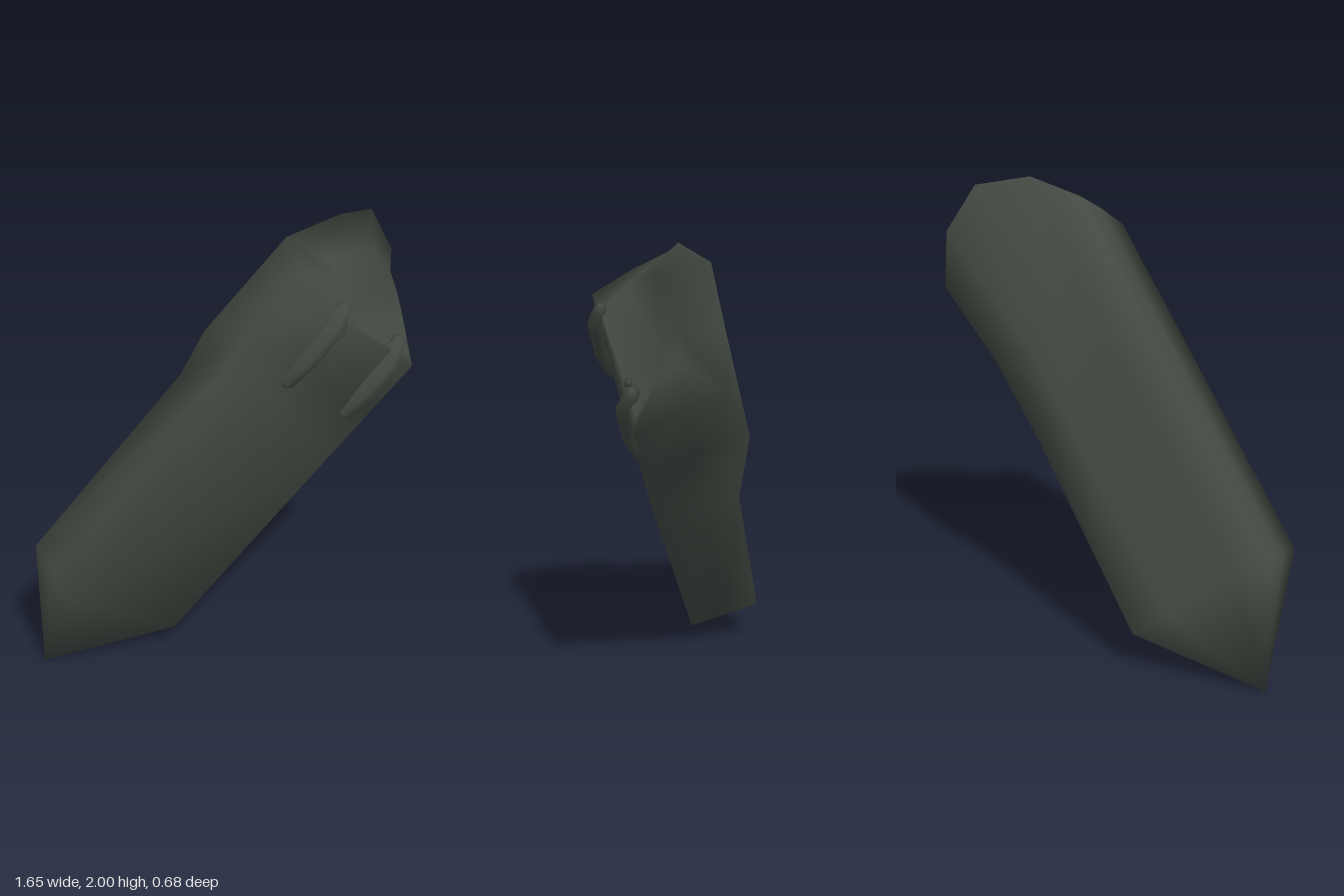
import * as THREE from 'three';

const V = (x, y, z) => new THREE.Vector3(x, y, z);

// Skin a list of equal-length rings, closing each end on a single point.
function loft(rings, start, end) {
  const n = rings[0].length, pts = [...rings.flat(), start, end], index = [];
  const s = pts.length - 2, e = pts.length - 1, last = (rings.length - 1) * n;
  for (let j = 0; j < n; j++) {
    const k = (j + 1) % n;
    for (let i = 0; i < rings.length - 1; i++) {
      const a = i * n + j, b = i * n + k;
      index.push(a, b, b + n, a, b + n, a + n);
    }
    index.push(s, k, j, last + j, last + k, e);
  }
  const g = new THREE.BufferGeometry().setFromPoints(pts);
  g.setIndex(index);
  g.computeVertexNormals();
  return g;
}

// Nine-point ring from the four ridges: left, front, right, back.
function ridgeRing(l, f, r, b) {
  const mix = (p, q, t) => p.clone().lerp(q, t);
  return [l, mix(l, f, 0.5), f, r, mix(r, b, 0.5), b, mix(b, l, 0.25), mix(b, l, 0.5), mix(b, l, 0.75)];
}

// Rounded tooth tapering along a short path of [x, y, z, radius].
function toothGeometry(path) {
  const sides = 8;
  const p = path.map(q => V(q[0], q[1], q[2]));
  const axis = p[p.length - 1].clone().sub(p[0]).normalize();
  const u = V(0, 0, 1).addScaledVector(axis, -axis.z).normalize();
  const w = axis.clone().cross(u);
  const rings = p.map((c, i) => Array.from({ length: sides }, (_, j) => {
    const a = j / sides * Math.PI * 2, r = path[i][3];
    return c.clone().addScaledVector(u, Math.cos(a) * r * 0.8).addScaledVector(w, Math.sin(a) * r);
  }));
  const cap = i => p[i].clone().addScaledVector(axis, (i ? 1 : -1) * path[i][3] * 0.5);
  return loft(rings, cap(0), cap(p.length - 1));
}

export function createModel() {
  const group = new THREE.Group();
  const skin = new THREE.MeshStandardMaterial({ color: 0x434a43, side: THREE.DoubleSide });
  skin.name = 'darkGreenGrey';
  const add = (name, geometry) => {
    const m = new THREE.Mesh(geometry, skin);
    m.name = name;
    group.add(m);
  };

  // Hood rim, and the rolled lip just inside it
  const rim = [
    V(0.26, 1.94, 0), V(0.3, 1.86, 0.16), V(0.33, 1.76, 0.32), V(0.82, 1.34, 0.03), V(0.81, 1.43, -0.15),
    V(0.8, 1.5, -0.325), V(0.8, 1.75, -0.305), V(0.68, 1.96, -0.23), V(0.5, 2, -0.07),
  ];
  const lip = [
    V(0.42, 1.86, 0.09), V(0.44, 1.81, 0.16), V(0.45, 1.72, 0.25), V(0.79, 1.4, 0.03), V(0.79, 1.53, -0.05),
    V(0.785, 1.61, -0.13), V(0.75, 1.71, -0.14), V(0.66, 1.82, -0.09), V(0.54, 1.87, 0.01),
  ];

  // Slanted body rising into a hooded head with a hollow mouth
  const rings = [
    ridgeRing(V(-0.83, 0.61, 0.03), V(-0.71, 0.52, 0.34), V(-0.23, 0.1, 0.03), V(-0.34, 0.19, -0.26)),
    ridgeRing(V(-0.18, 1.37, 0.01), V(0.1, 1.48, 0.33), V(0.47, 0.93, 0.03), V(0.25, 0.92, -0.27)),
    ridgeRing(V(-0.07, 1.55, -0.02), V(0.2, 1.6, 0.325), V(0.65, 1.14, 0.03), V(0.43, 1.24, -0.34)),
    rim,
    lip,
  ];
  add('bodyAndHood', loft(rings, V(-0.83, 0, 0.04), V(0.56, 1.6, -0.02)));

  // Two long fangs lying over the lower lip
  add('rightFang', toothGeometry([
    [0.45, 1.73, 0.25, 0.035], [0.4, 1.66, 0.28, 0.05], [0.3, 1.53, 0.285, 0.048], [0.21, 1.42, 0.27, 0.035],
  ]));
  add('leftFang', toothGeometry([
    [0.75, 1.48, 0.05, 0.035], [0.7, 1.4, 0.09, 0.05], [0.6, 1.27, 0.095, 0.048], [0.51, 1.16, 0.08, 0.035],
  ]));

  // Small teeth beside the fangs
  add('rightSmallTooth', toothGeometry([[0.48, 1.65, 0.21, 0.02], [0.43, 1.58, 0.23, 0.014]]));
  add('leftSmallTooth', toothGeometry([[0.69, 1.5, 0.08, 0.02], [0.64, 1.44, 0.1, 0.014]]));
  return group;
}
